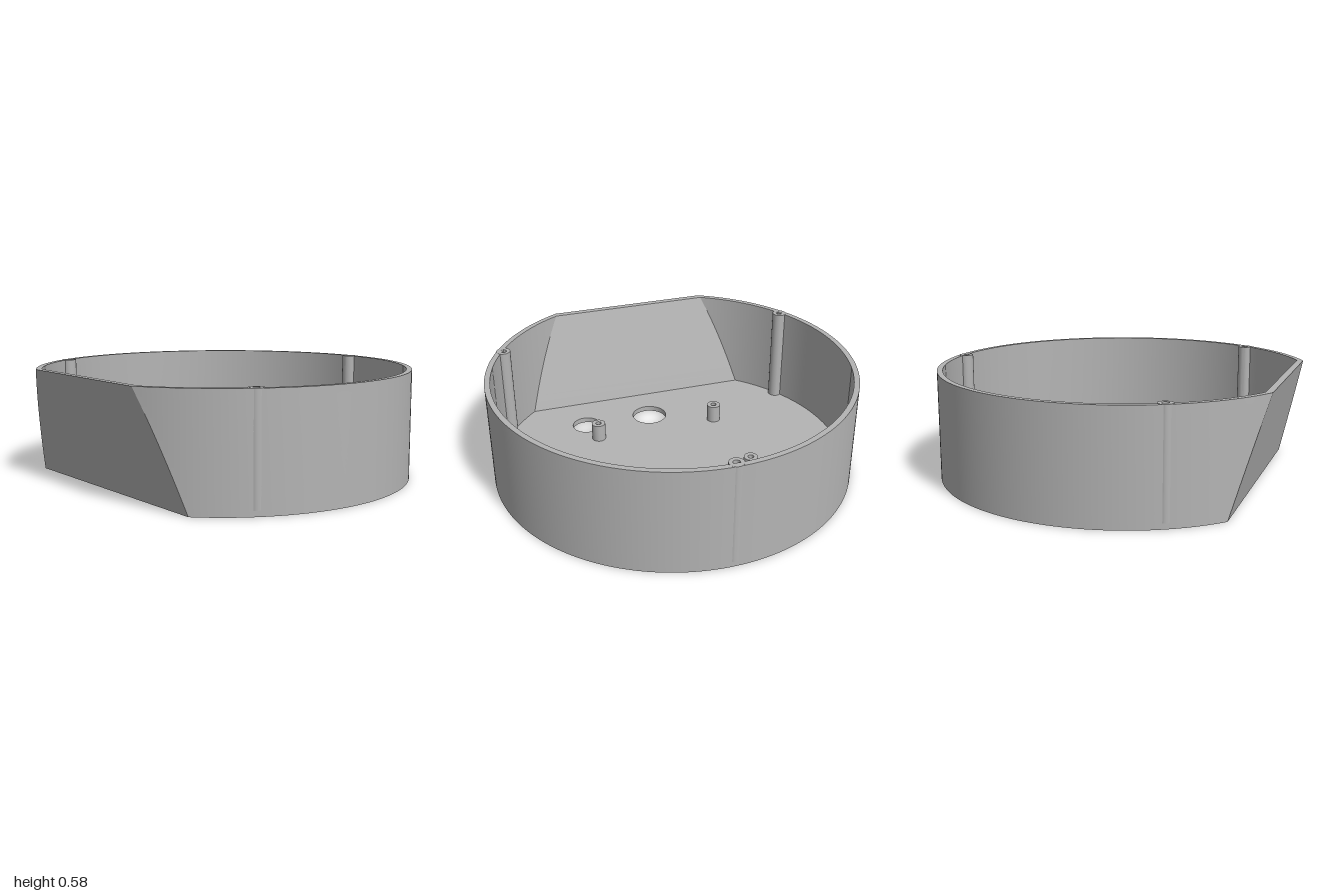
import * as THREE from 'three';
import { toCreasedNormals } from 'three/addons/utils/BufferGeometryUtils.js';

const CENTRE_Z = 0.055, HEIGHT = 0.58, FLOOR = 0.03, WALL = 0.03;
const SEGMENTS = 180, LEVELS = 14;

// Sloping front plane: z of the outer and inner faces at height y
const outerFront = (y) => 0.795 + 0.2586 * y;
const innerFront = (y) => outerFront(y) - 0.035;

// Circle of radius r cut off by the front plane, as [x, z] points
function outline(r, frontZ) {
  const a = Math.acos((frontZ - CENTRE_Z) / r);
  return Array.from({ length: SEGMENTS + 1 }, (_, i) => {
    const t = a + (2 * Math.PI - 2 * a) * i / SEGMENTS;
    return [r * Math.sin(t), CENTRE_Z + r * Math.cos(t)];
  });
}

// Outer skin going up, rim, inner skin going down, closed underneath
function wallGeometry() {
  const rings = [];
  for (let i = 0; i <= LEVELS; i++) {
    const y = HEIGHT * i / LEVELS;
    rings.push([y, outline(1, outerFront(y))]);
  }
  for (let i = LEVELS; i >= 0; i--) {
    const y = HEIGHT * i / LEVELS;
    rings.push([y, outline(1 - WALL, innerFront(y))]);
  }
  const n = SEGMENTS + 1, positions = [], index = [];
  rings.forEach(([y, points], j) => {
    const next = (j + 1) % rings.length;
    points.forEach(([x, z], i) => {
      positions.push(x, y, z);
      const k = (i + 1) % n;
      const a = j * n + i, b = j * n + k, c = next * n + k, d = next * n + i;
      index.push(a, b, d, b, c, d);
    });
  });
  const g = new THREE.BufferGeometry();
  g.setAttribute('position', new THREE.Float32BufferAttribute(positions, 3));
  g.setIndex(index);
  return toCreasedNormals(g, 0.3);
}

// Floor plate with vent slots and two round openings
function floorGeometry() {
  const shape = new THREE.Shape(
    outline(1 - WALL, innerFront(FLOOR)).map(([x, z]) => new THREE.Vector2(x, z)));
  for (let i = -3; i <= 3; i++) {
    const x = i * 0.11, r = 0.0275, slot = new THREE.Path();
    slot.absarc(x, -0.195 - r, r, 0, Math.PI, false);
    slot.absarc(x, -0.68 + r, r, Math.PI, 2 * Math.PI, false);
    // Round ends bulge outward from the straight sides
    const path = new THREE.Path();
    path.moveTo(x + r, -0.68 + r);
    path.lineTo(x + r, -0.195 - r);
    path.absarc(x, -0.195 - r, r, 0, Math.PI, false);
    path.lineTo(x - r, -0.68 + r);
    path.absarc(x, -0.68 + r, r, Math.PI, 2 * Math.PI, false);
    shape.holes.push(path);
  }
  for (const [x, z, r] of [[0, 0.515, 0.1], [0.39, 0.515, 0.082]]) {
    shape.holes.push(new THREE.Path().absarc(x, z, r, 0, 2 * Math.PI, false));
  }
  const g = new THREE.ExtrudeGeometry(shape, { depth: FLOOR, bevelEnabled: false, curveSegments: 24 });
  g.rotateX(Math.PI / 2).translate(0, FLOOR, 0);
  return toCreasedNormals(g, 0.3);
}

// Hollow screw post
function postGeometry(outer, inner, height) {
  const profile = [[inner, 0], [outer, 0], [outer, height], [inner, height], [inner, 0]]
    .map(([x, y]) => new THREE.Vector2(x, y));
  return toCreasedNormals(new THREE.LatheGeometry(profile, 32), 0.3);
}

export function createModel() {
  const grey = new THREE.MeshStandardMaterial({ color: 0xb4b4b4 });
  grey.name = 'grey plastic';
  const model = new THREE.Group();
  model.name = 'roundEnclosure';
  const add = (name, geometry, x = 0, y = 0, z = 0) => {
    const mesh = new THREE.Mesh(geometry, grey);
    mesh.name = name;
    mesh.position.set(x, y, z);
    model.add(mesh);
  };

  add('wall', wallGeometry());
  add('floor', floorGeometry());

  // Three tall posts merged into the wall, evenly spaced
  const tall = postGeometry(0.039, 0.018, HEIGHT - FLOOR + 0.001);
  for (let i = 0; i < 3; i++) {
    const t = Math.PI + i * 2 * Math.PI / 3;
    add('lidPost', tall, 0.965 * Math.sin(t), FLOOR, CENTRE_Z + 0.965 * Math.cos(t));
  }

  // Four short standoffs on the floor
  const short = postGeometry(0.039, 0.016, 0.1);
  for (const x of [-0.355, 0.355]) {
    for (const z of [-0.25, 0.35]) add('boardStandoff', short, x, FLOOR, z);
  }
  return model;
}
